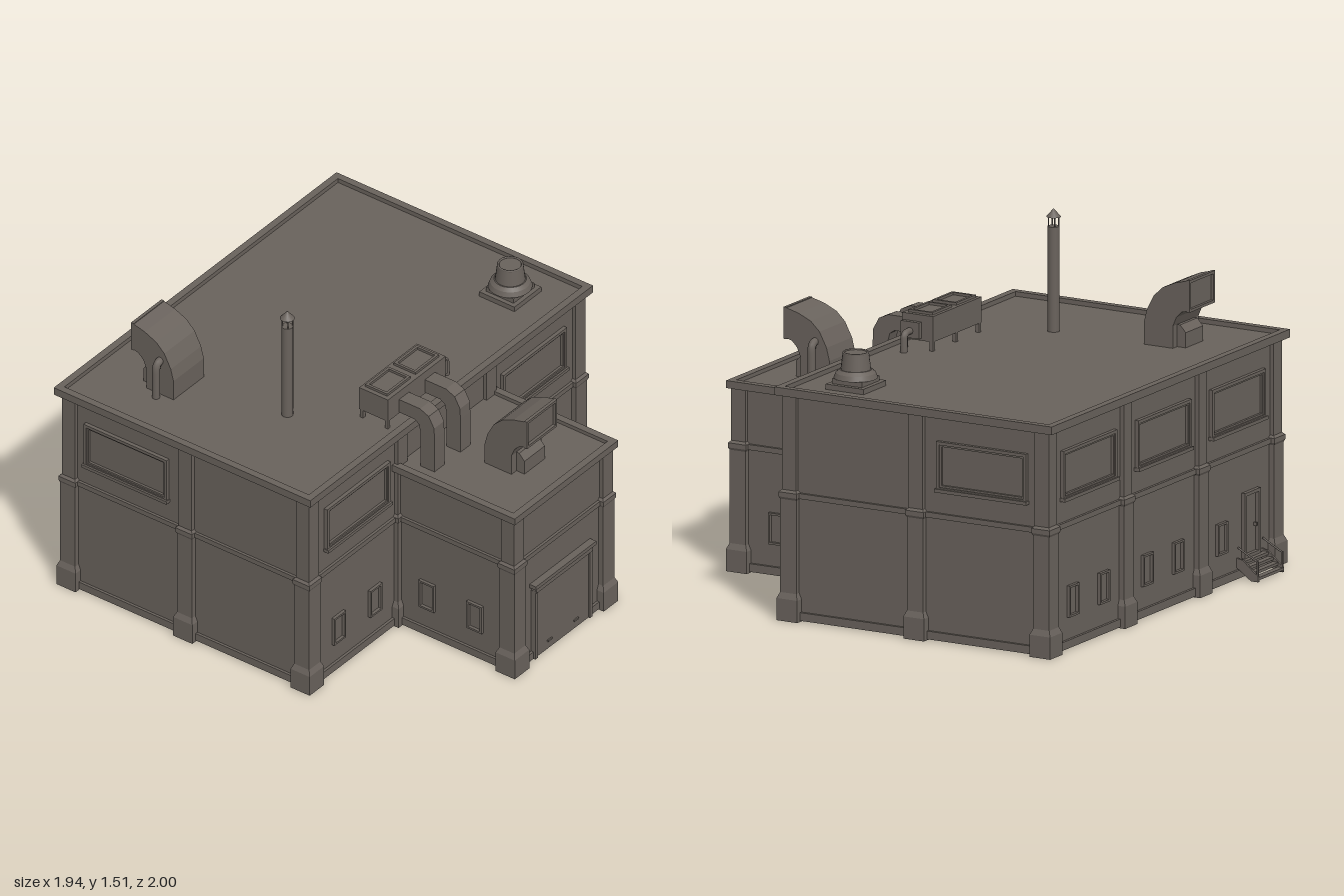
import * as THREE from 'three';

const brick = new THREE.MeshStandardMaterial({ color: 0x69625c });
brick.name = 'warm grey';

function add(parent, name, geometry, x = 0, y = 0, z = 0) {
  const mesh = new THREE.Mesh(geometry, brick);
  mesh.name = name;
  mesh.position.set(x, y, z);
  parent.add(mesh);
  return mesh;
}

function group(parent, name, x = 0, y = 0, z = 0, turn = 0) {
  const g = new THREE.Group();
  g.name = name;
  g.position.set(x, y, z);
  g.rotation.y = turn;
  parent.add(g);
  return g;
}

// Box given by its limits
function block(parent, name, x0, x1, y0, y1, z0, z1) {
  return add(parent, name, new THREE.BoxGeometry(x1 - x0, y1 - y0, z1 - z0),
    (x0 + x1) / 2, (y0 + y1) / 2, (z0 + z1) / 2);
}

// Four-sided wall or trim of thickness t inside the given limits
function ring(parent, name, x0, x1, z0, z1, y0, y1, t, withBack = true) {
  const g = group(parent, name);
  block(g, name + 'Right', x0, x0 + t, y0, y1, z0, z1);
  block(g, name + 'Left', x1 - t, x1, y0, y1, z0, z1);
  block(g, name + 'Front', x0 + t, x1 - t, y0, y1, z1 - t, z1);
  if (withBack) block(g, name + 'Back', x0 + t, x1 - t, y0, y1, z0, z0 + t);
}

// Upright frame with a rectangular hole, centred
function frameGeometry(w, h, border, depth) {
  const rect = (S, a, b) => new S([[-a, -b], [a, -b], [a, b], [-a, b]].map(p => new THREE.Vector2(...p)));
  const shape = rect(THREE.Shape, w / 2, h / 2);
  shape.holes.push(rect(THREE.Path, w / 2 - border, h / 2 - border));
  return new THREE.ExtrudeGeometry(shape, { depth, bevelEnabled: false }).translate(0, 0, -depth / 2);
}

// Side profile of [z, y] points, extruded across x
function sideProfile(points, width) {
  const shape = new THREE.Shape(points.map(p => new THREE.Vector2(...p)));
  return new THREE.ExtrudeGeometry(shape, { depth: width, bevelEnabled: false })
    .translate(0, 0, -width / 2).rotateY(-Math.PI / 2);
}

function pipe(parent, name, points, radius) {
  const path = new THREE.CatmullRomCurve3(points.map(p => new THREE.Vector3(...p)), false, 'catmullrom', 0.3);
  return add(parent, name, new THREE.TubeGeometry(path, 20, radius, 10));
}

// Square stepped pillar with plinth and mid cap
function pillar(parent, x, z, height) {
  const profile = [[0.05, 0], [0.05, 0.095], [0.039, 0.12], [0.039, 0.52], [0.044, 0.53],
    [0.044, 0.55], [0.034, 0.56], [0.034, height]]
    .map(([half, y]) => new THREE.Vector2(half * Math.SQRT2, y));
  const geometry = new THREE.LatheGeometry(profile, 4).rotateY(Math.PI / 4).toNonIndexed();
  geometry.computeVertexNormals();
  add(parent, 'pillar', geometry, x, 0, z);
}

// Wide framed panel with a sill
function widePanel(wall, u) {
  const g = group(wall, 'upperPanel', u, 0.755, 0);
  add(g, 'panelFrame', frameGeometry(0.435, 0.21, 0.014, 0.034));
  add(g, 'panelInnerFrame', frameGeometry(0.407, 0.182, 0.008, 0.022));
  block(g, 'panelSill', -0.222, 0.222, -0.112, -0.097, -0.015, 0.026);
}

function smallWindow(wall, u) {
  add(wall, 'smallWindowFrame', frameGeometry(0.08, 0.135, 0.009, 0.028), u, 0.203, 0);
}

// Hooded square exhaust facing +z with a side pipe
function exhaustHood(parent, x, y, z, turn) {
  const g = group(parent, 'exhaustHood', x, y, z, turn);
  add(g, 'hoodElbow', sideProfile([[-0.11, -0.02], [-0.11, 0.08], [-0.096, 0.135], [-0.062, 0.2],
    [-0.02, 0.24], [0.04, 0.267], [0.098, 0.282], [0.098, 0.152], [0.072, 0.145], [0.047, 0.12],
    [0.03, 0.08], [0.03, -0.02]], 0.208));
  add(g, 'hoodMouth', frameGeometry(0.208, 0.137, 0.012, 0.014), 0, 0.2165, 0.104);
  add(g, 'hoodFootBox', sideProfile([[0.03, -0.02], [0.03, 0.08], [0.045, 0.08], [0.072, 0.05], [0.072, -0.02]], 0.14));
  pipe(g, 'hoodPipe', [[0.132, -0.02, -0.04], [0.132, 0.12, -0.04], [0.122, 0.15, -0.04], [0.09, 0.158, -0.04]], 0.017);
}

export function createModel() {
  const model = new THREE.Group();
  model.name = 'industrialBuilding';

  // Main hall
  const hall = group(model, 'mainHall');
  ring(hall, 'hallWall', -0.93, 0.93, -0.895, 0.36, 0.005, 0.97, 0.01);
  ring(hall, 'hallBaseTrim', -0.942, 0.942, -0.907, 0.372, 0.005, 0.04, 0.022);
  ring(hall, 'hallMidBand', -0.942, 0.942, -0.907, 0.372, 0.527, 0.55, 0.022);
  ring(hall, 'hallCornice', -0.97, 0.97, -0.94, 0.4, 0.965, 1, 0.032);
  block(hall, 'hallRoof', -0.94, 0.94, 0.968, 0.98, -0.91, 0.37);
  for (const s of [-1, 1]) {
    for (const z of [-0.88, -0.27, 0.343]) pillar(hall, s * 0.915, z, 0.97);
    for (const z of [-0.88, 0.343]) pillar(hall, s * 0.305, z, 0.97);
  }

  // Front wing
  const wing = group(model, 'frontWing');
  ring(wing, 'wingWall', -0.32, 0.32, 0.36, 0.965, 0.005, 0.79, 0.01, false);
  ring(wing, 'wingBaseTrim', -0.332, 0.332, 0.36, 0.977, 0.005, 0.04, 0.022, false);
  ring(wing, 'wingMidBand', -0.332, 0.332, 0.36, 0.977, 0.527, 0.55, 0.022, false);
  ring(wing, 'wingCornice', -0.355, 0.355, 0.36, 1, 0.785, 0.817, 0.032, false);
  block(wing, 'wingRoof', -0.325, 0.325, 0.787, 0.8, 0.36, 0.97);
  for (const s of [-1, 1]) pillar(wing, s * 0.305, 0.95, 0.79);

  // Openings, placed wall by wall with +z pointing outward
  const front = group(model, 'hallFrontOpenings', 0, 0, 0.36);
  const back = group(model, 'hallBackOpenings', 0, 0, -0.895, Math.PI);
  for (const s of [-1, 1]) {
    widePanel(front, s * 0.605);
    for (const u of [0.48, 0.73]) smallWindow(front, s * u);
    const side = group(model, 'hallSideOpenings', s * 0.93, 0, 0, s * Math.PI / 2);
    widePanel(side, s * 0.585);
    const wingSide = group(model, 'wingSideOpenings', s * 0.32, 0, 0, s * Math.PI / 2);
    for (const z of [0.52, 0.77]) smallWindow(wingSide, -s * z);
  }
  for (const u of [-0.605, 0, 0.605]) widePanel(back, u);
  for (const u of [-0.73, -0.48, -0.125, 0.125, 0.48]) smallWindow(back, u);

  // Back door and its steps
  add(back, 'backDoorFrame', frameGeometry(0.13, 0.28, 0.014, 0.034), 0.715, 0.22, 0);
  block(back, 'backDoorKnob', 0.75, 0.758, 0.2, 0.215, 0, 0.014);
  const steps = group(back, 'backSteps', 0.715, 0, 0);
  for (let i = 0; i < 4; i++) {
    const y = 0.08 - i * 0.02;
    block(steps, 'step', -0.1, 0.1, y - 0.012, y, 0.01 + i * 0.023, 0.037 + i * 0.023);
  }
  for (const s of [-1, 1]) {
    add(steps, 'stringer', sideProfile([[0, 0.05], [0, 0.09], [0.03, 0.085], [0.105, 0.022], [0.105, 0], [0.07, 0]], 0.01), s * 0.1);
    pipe(steps, 'handrail', [[s * 0.1, 0.135, 0.005], [s * 0.1, 0.11, 0.05], [s * 0.1, 0.085, 0.099]], 0.004);
    block(steps, 'railPost', s * 0.1 - 0.004, s * 0.1 + 0.004, 0, 0.088, 0.095, 0.103);
  }

  // Garage door on the wing front
  const garage = group(model, 'garageDoor', 0, 0, 0.965);
  for (const s of [-1, 1]) {
    block(garage, 'garageJamb', s * 0.187 - 0.009, s * 0.187 + 0.009, 0.005, 0.35, -0.015, 0.022);
    block(garage, 'garageHandle', s * 0.09 - 0.015, s * 0.09 + 0.015, 0.042, 0.05, 0, 0.02);
  }
  block(garage, 'garageDoorLeaf', -0.178, 0.178, 0.005, 0.335, 0, 0.014);
  block(garage, 'garageLintel', -0.195, 0.195, 0.342, 0.368, -0.015, 0.026);
  block(garage, 'garageLintelCap', -0.207, 0.207, 0.368, 0.386, -0.015, 0.033);

  // Exhaust hoods
  exhaustHood(model, 0.015, 0.815, 0.75, 0);
  exhaustHood(model, -0.612, 0.995, -0.618, Math.PI);

  // Chimney with a caged cap
  const chimney = group(model, 'chimney', -0.51, 0, -0.07);
  add(chimney, 'chimneyPipe', new THREE.CylinderGeometry(0.025, 0.025, 0.46, 16), 0, 1.2, 0);
  for (let i = 0; i < 4; i++) {
    const a = Math.PI / 4 + i * Math.PI / 2;
    add(chimney, 'capPost', new THREE.CylinderGeometry(0.003, 0.003, 0.05, 6), 0.022 * Math.cos(a), 1.45, 0.022 * Math.sin(a));
  }
  add(chimney, 'chimneyCap', new THREE.ConeGeometry(0.031, 0.036, 16), 0, 1.488, 0);

  // Roof fan
  const fan = group(model, 'roofFan', 0.737, 0, 0.145);
  block(fan, 'fanBase', -0.092, 0.092, 0.975, 1.003, -0.092, 0.092);
  block(fan, 'fanCurb', -0.072, 0.072, 1, 1.025, -0.072, 0.072);
  add(fan, 'fanBrim', new THREE.CylinderGeometry(0.084, 0.093, 0.022, 24), 0, 1.035, 0);
  add(fan, 'fanCollar', new THREE.CylinderGeometry(0.068, 0.084, 0.014, 24), 0, 1.053, 0);
  add(fan, 'fanBody', new THREE.CylinderGeometry(0.055, 0.064, 0.075, 24), 0, 1.0925, 0);
  add(fan, 'fanRim', new THREE.TorusGeometry(0.051, 0.005, 6, 24).rotateX(Math.PI / 2), 0, 1.13, 0);

  // Air handler on legs, with two vents, two ducts and a drain pipe
  const handler = group(model, 'airHandler');
  block(handler, 'handlerBody', -0.345, 0.05, 1.02, 1.13, 0.18, 0.33);
  for (const x of [-0.335, -0.148, 0.04])
    for (const z of [0.19, 0.32]) block(handler, 'handlerLeg', x - 0.008, x + 0.008, 0.975, 1.03, z - 0.008, z + 0.008);
  for (const x of [-0.245, -0.05]) {
    add(handler, 'topVent', frameGeometry(0.16, 0.115, 0.012, 0.014).rotateX(Math.PI / 2), x, 1.134, 0.253);
  }
  for (const x of [-0.235, -0.057]) {
    add(handler, 'downDuct', sideProfile([[0.32, 1.025], [0.32, 1.09], [0.44, 1.09], [0.485, 1.07], [0.513, 1.02],
      [0.515, 0.97], [0.515, 0.795], [0.443, 0.795], [0.443, 0.97], [0.433, 1.01], [0.41, 1.025]], 0.068), x);
  }
  block(handler, 'pipeBox', 0.05, 0.07, 1.03, 1.1, 0.235, 0.325);
  pipe(handler, 'drainPipe', [[0.06, 1.06, 0.28], [0.1, 1.06, 0.28], [0.117, 1.045, 0.28], [0.12, 0.975, 0.28]], 0.015);

  return model;
}
